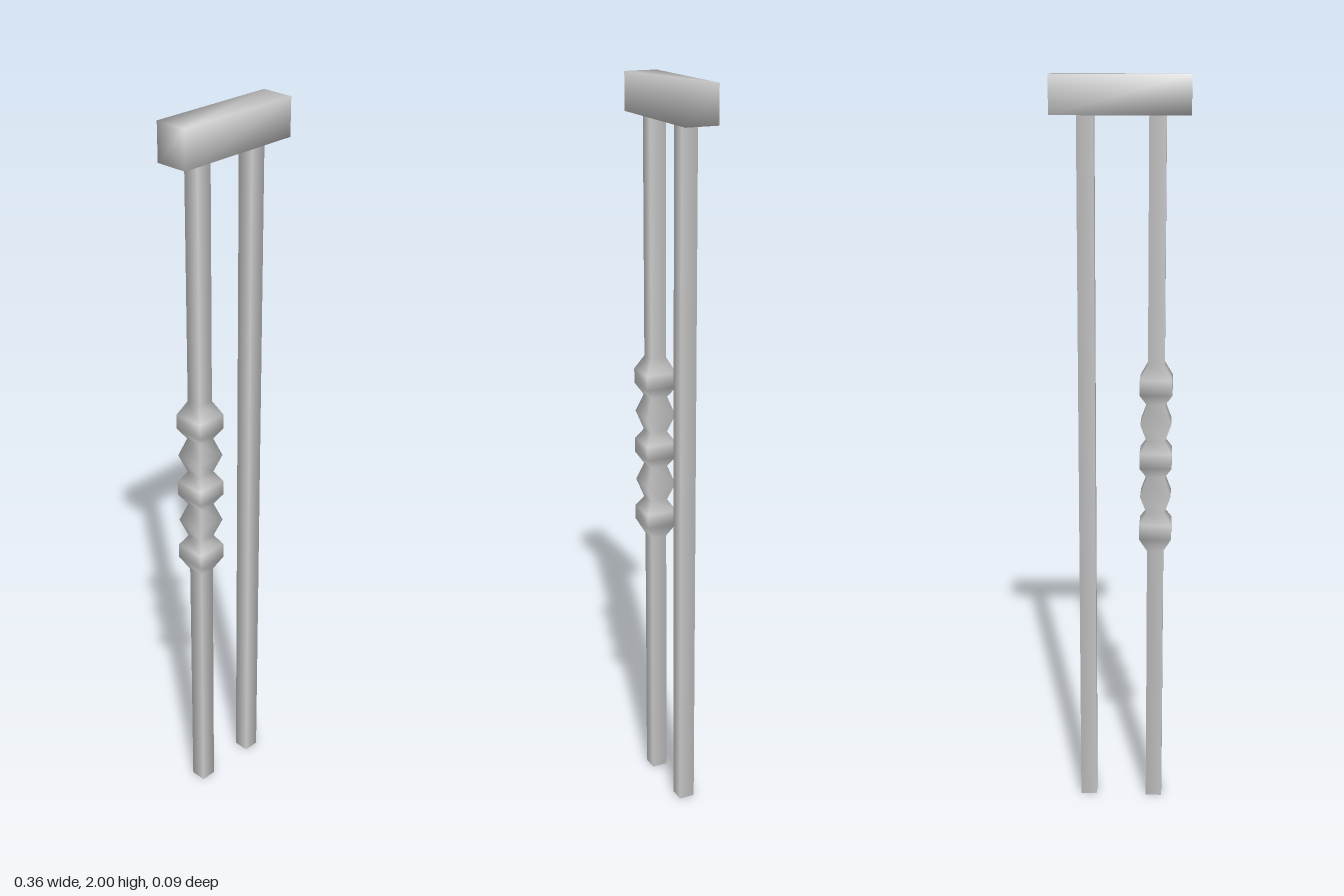
import * as THREE from 'three';
import { mergeVertices } from 'three/addons/utils/BufferGeometryUtils.js';

const material = new THREE.MeshStandardMaterial({ color: 0xcccccc });
const HALF = 0.022; // half width of a plain square bar
const TOP = 1.9; // underside of the rail

// Square bar with smooth normals, swept from [halfWidth, y] pairs, bottom to top
function squareBar(name, x, profile) {
  const points = profile.map(([half, y]) => new THREE.Vector2(half * Math.SQRT2, y));
  const mesh = new THREE.Mesh(new THREE.LatheGeometry(points, 4, Math.PI / 4), material);
  mesh.name = name;
  mesh.position.x = x;
  return mesh;
}

export function createModel() {
  const group = new THREE.Group();
  group.name = 'railingSection';

  // Handrail: box with normals shared across its edges
  const box = new THREE.BoxGeometry(0.36, 0.1, 0.09);
  box.deleteAttribute('normal');
  box.deleteAttribute('uv');
  const railGeometry = mergeVertices(box);
  railGeometry.computeVertexNormals();
  const rail = new THREE.Mesh(railGeometry, material);
  rail.name = 'handrail';
  rail.position.y = TOP + 0.05;
  group.add(rail);

  // Ornamental baluster: flat-sided knuckles alternating with pointed ones
  const profile = [[0, 0], [HALF, 0], [HALF, 0.74]];
  for (let i = 0; i < 5; i++) {
    const y = 0.8 + i * 0.1;
    if (i % 2 === 0) profile.push([0.043, y - 0.02], [0.043, y + 0.02]);
    else profile.push([0.041, y]);
    if (i < 4) profile.push([HALF + 0.002, y + 0.05]);
  }
  profile.push([HALF, 1.26], [HALF, TOP], [0, TOP]);
  group.add(squareBar('ornamentalBaluster', -0.095, profile));

  // Plain baluster
  group.add(squareBar('plainBaluster', 0.09, [[0, 0], [HALF, 0], [HALF, TOP], [0, TOP]]));

  return group;
}
